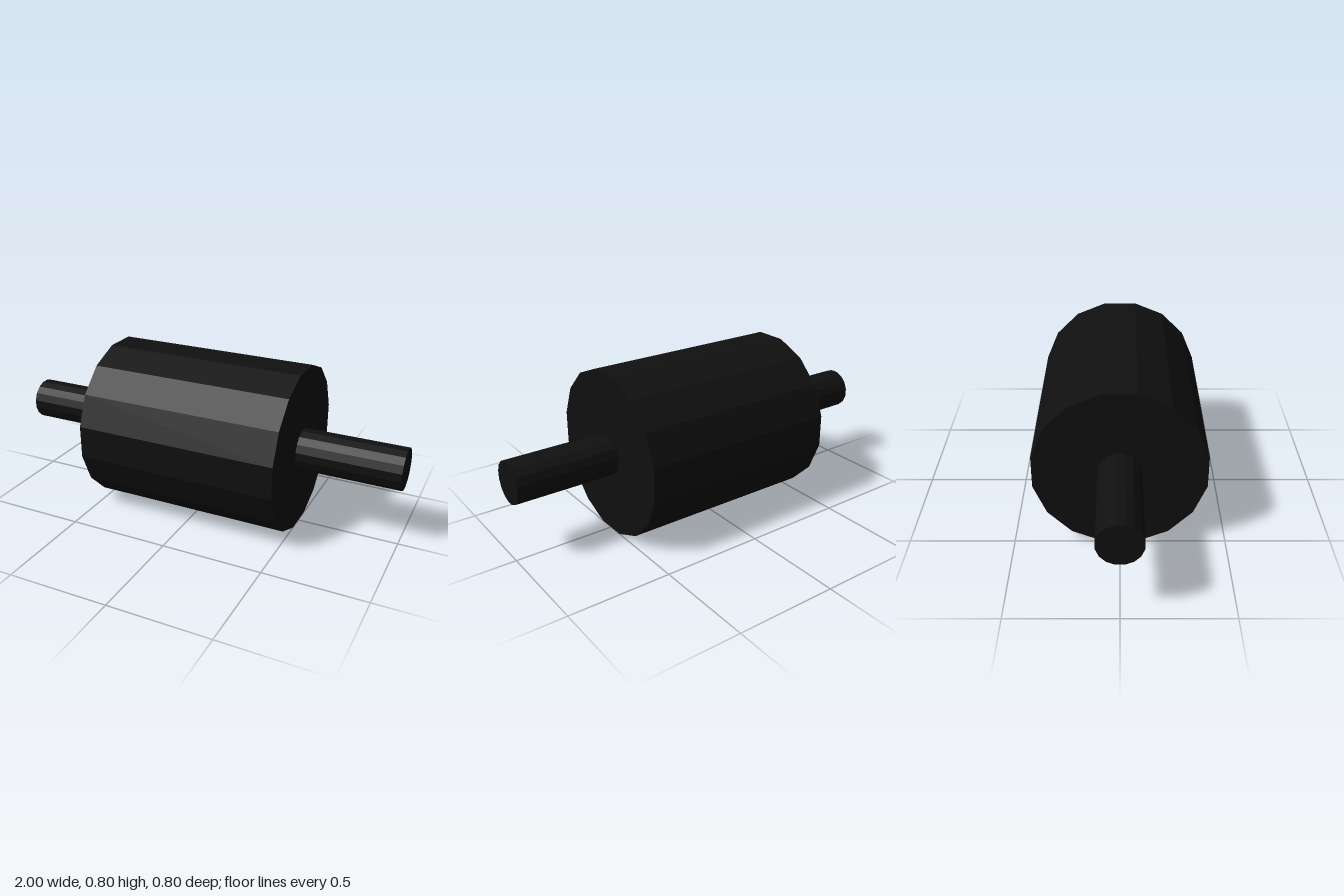
import * as THREE from 'three';

const SIDES = 16;

// Faceted cylinder lying along x, measured across its flats, with flats at top and bottom
function roundBar(name, halfHeight, length, x, material) {
  const radius = halfHeight / Math.cos(Math.PI / SIDES);
  const geometry = new THREE.CylinderGeometry(radius, radius, length, SIDES, 1, false, Math.PI / SIDES);
  geometry.rotateZ(Math.PI / 2);
  const mesh = new THREE.Mesh(geometry, material);
  mesh.name = name;
  mesh.position.set(x, 0.4, 0);
  return mesh;
}

export function createModel() {
  const black = new THREE.MeshStandardMaterial({ color: 0x101010 });
  black.name = 'black';
  black.flatShading = true;

  const model = new THREE.Group();
  model.name = 'roller';

  // Wide central drum
  model.add(roundBar('drum', 0.4, 1, 0, black));

  // Thin axle stub on each end
  for (const side of [1, -1]) {
    model.add(roundBar(side > 0 ? 'leftAxle' : 'rightAxle', 0.1, 0.5, side * 0.75, black));
  }
  return model;
}
